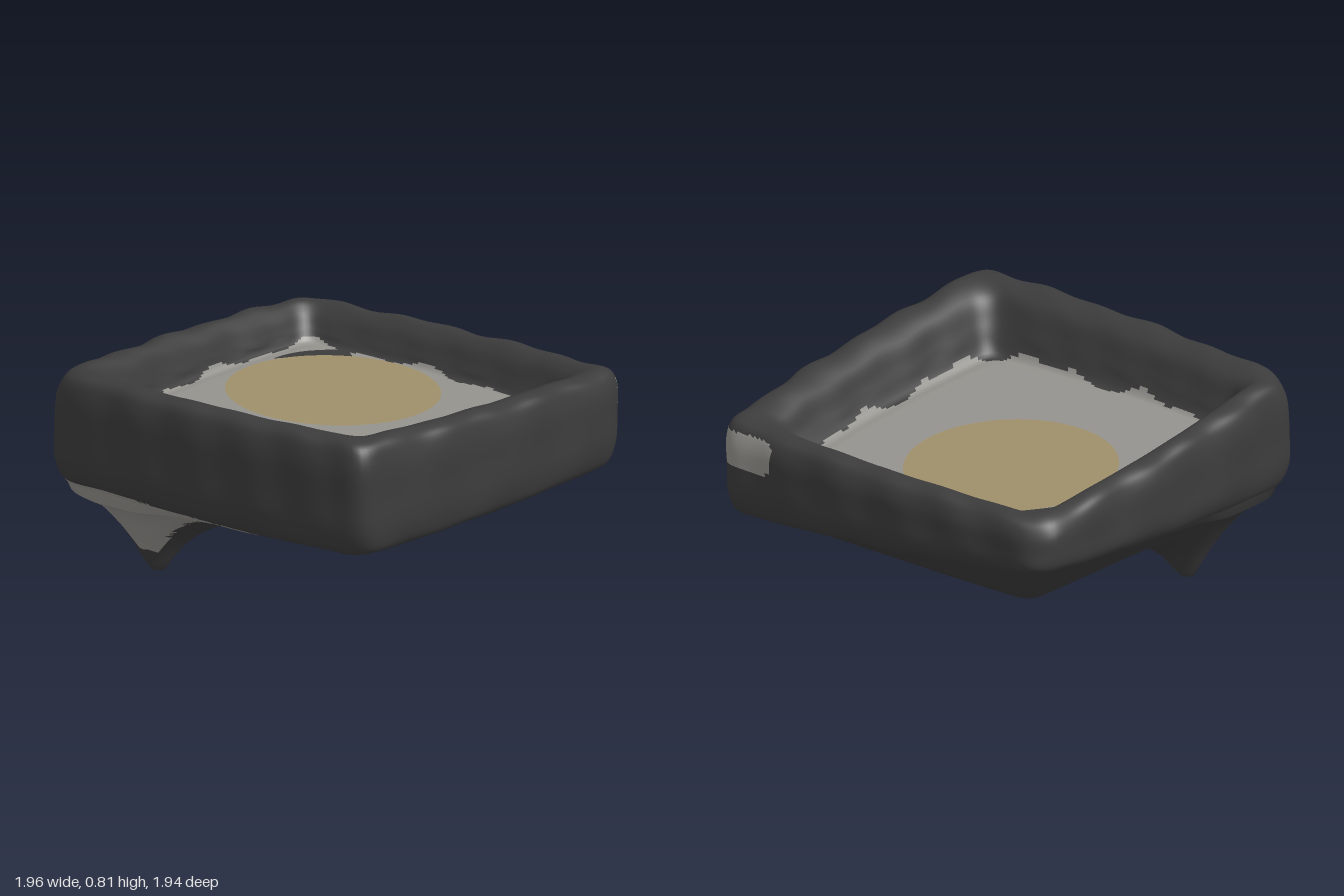
import * as THREE from 'three';

const charcoal = new THREE.MeshStandardMaterial({ color: 0x3c3c3d });
charcoal.name = 'charcoal';
const stoneGrey = new THREE.MeshStandardMaterial({ color: 0x95938e });
stoneGrey.name = 'stone grey';
const sand = new THREE.MeshStandardMaterial({ color: 0xa0906a });
sand.name = 'sand';

// Plan corners of the tray: left, back, right, front
const corners = [[-1.01, -0.22], [0.2, -1.01], [1.02, 0.2], [-0.23, 1.0]];
const SIDE = 60, STEPS = 6;
const floorY = (x, z) => 0.55 - 0.04 * x + 0.03 * z;

// Cross-section rings from floor centre, over the rim, to the underside centre:
// [scale, z offset, heights at the four corners (omitted on the floor)]
const rings = [
  [0.002, -0.05], [0.35, -0.05], [0.66, -0.05], [0.73, -0.045],
  [0.775, -0.03, 0.64, 0.56, 0.57, 0.68],
  [0.82, -0.02, 0.72, 0.605, 0.645, 0.77],
  [0.89, 0, 0.755, 0.635, 0.68, 0.81],
  [0.955, 0, 0.74, 0.615, 0.665, 0.795],
  [0.985, 0, 0.68, 0.57, 0.61, 0.73],
  [0.99, 0, 0.53, 0.515, 0.52, 0.6],
  [0.985, 0, 0.4, 0.46, 0.4, 0.46],
  [0.95, 0, 0.335, 0.425, 0.33, 0.39],
  [0.86, 0, 0.315, 0.35, 0.31, 0.37],
  [0.75, 0, 0.27, 0.26, 0.28, 0.345],
  [0.55, 0, 0.22, 0.175, 0.22, 0.3],
  [0.25, -0.03, 0.18, 0.145, 0.16, 0.22],
  [0.002, -0.06, 0.15, 0.15, 0.15, 0.15],
];

const mix = THREE.MathUtils.lerp;

// Point on a round-cornered ring; k is the side, t runs along it
function ringPoint([scale, dz, ...heights], k, t) {
  const r = 0.07, at = (side, u) => {
    const a = corners[(side + 4) % 4], b = corners[(side + 5) % 4];
    const bulge = scale * (1 + 0.045 * Math.sin(Math.PI * u));
    const h = heights.length ? mix(heights[(side + 4) % 4], heights[(side + 5) % 4], u) : 0;
    return new THREE.Vector3(mix(a[0], b[0], u) * bulge, h, mix(a[1], b[1], u) * bulge + dz);
  };
  const bend = (side, s) => new THREE.QuadraticBezierCurve3(at(side - 1, 1 - r), at(side, 0), at(side, r)).getPoint(s);
  let p;
  if (t < r) p = bend(k, 0.5 + t / r / 2);
  else if (t > 1 - r) p = bend(k + 1, (t - 1 + r) / r / 2);
  else p = at(k, t);
  if (!heights.length) p.y = floorY(p.x, p.z);
  return p;
}

function trayGeometry() {
  const cols = 4 * SIDE, rows = (rings.length - 1) * STEPS;
  const grid = [], pos = [];
  for (let j = 0; j < cols; j++) {
    const k = Math.floor(j / SIDE), t = (j % SIDE) / SIDE;
    const curve = new THREE.CatmullRomCurve3(rings.map((ring) => ringPoint(ring, k, t)), false, 'centripetal');
    grid.push(curve.getPoints(rows));
  }
  for (let i = 0; i <= rows; i++) {
    for (let j = 0; j < cols; j++) {
      const p = grid[j][i];
      // Hand-worked waviness on the rim and walls
      if (i > 3.5 * STEPS && i < 12 * STEPS) {
        const a = (j / cols) * Math.PI * 2;
        const w = 0.004 * Math.sin(a * 23 + i * 0.12) + 0.004 * Math.sin(a * 13 - i * 0.2);
        p.x *= 1 + w; p.z *= 1 + w; p.y += w * 0.6;
      }
      // Pointed spur under the left side
      if (i > 11 * STEPS) {
        const d = Math.max(0, Math.hypot(p.x + 0.63, p.z + 0.12) - 0.015);
        p.y = Math.max(0, p.y - 0.28 * Math.exp(-d / 0.115));
      }
      pos.push(p.x, p.y, p.z);
    }
  }

  // Sort faces into charcoal and bare grey areas
  const faces = [[], []];
  const sideOf = (x, z, ax, az, bx, bz) => (bx - ax) * (z - az) - (bz - az) * (x - ax);
  const isGrey = (x, y, z, i, j) => {
    const a = (j / cols) * Math.PI * 2;
    if (i < 3 * STEPS + 1.5 * Math.sin(a * 9) + 1.2 * Math.sin(a * 17)) return true;
    if (i < 8 * STEPS) return x > 0.88 && y < 0.645 && y > 0.52 && z > -0.02 && z < 0.2 && i > 7 * STEPS;
    const wallPatch = x > 0.8 && ((z - 0.09) / 0.11) ** 4 + ((y - 0.58) / 0.064) ** 4 < 1;
    const spurPatch = i > 10.5 * STEPS && y < 0.365 && y > 0.09
      && sideOf(x, z, -1, -0.26, -0.64, -0.07) > 0
      && sideOf(x, z, -0.64, -0.07, -0.47, 0.6) > 0;
    return wallPatch || spurPatch;
  };
  for (let i = 0; i < rows; i++) {
    for (let j = 0; j < cols; j++) {
      const n = (j + 1) % cols;
      const a = i * cols + j, b = i * cols + n, c = a + cols, d = b + cols;
      for (const f of [[a, b, c], [b, d, c]]) {
        const m = [0, 1, 2].map((q) => (pos[f[0] * 3 + q] + pos[f[1] * 3 + q] + pos[f[2] * 3 + q]) / 3);
        faces[isGrey(...m, i, j) ? 1 : 0].push(...f);
      }
    }
  }
  const g = new THREE.BufferGeometry();
  g.setAttribute('position', new THREE.Float32BufferAttribute(pos, 3));
  g.setIndex(faces[0].concat(faces[1]));
  g.addGroup(0, faces[0].length, 0);
  g.addGroup(faces[0].length, faces[1].length, 1);
  g.computeVertexNormals();
  return g;
}

// Thin painted plate lying on the sloping floor
function floorPlate(shape, material, name, lift) {
  const g = new THREE.ShapeGeometry(shape, 48);
  g.rotateX(-Math.PI / 2);
  const p = g.attributes.position;
  for (let i = 0; i < p.count; i++) p.setY(i, floorY(p.getX(i), p.getZ(i)) + lift);
  g.computeVertexNormals();
  const mesh = new THREE.Mesh(g, material);
  mesh.name = name;
  return mesh;
}

export function createModel() {
  const model = new THREE.Group();
  model.name = 'tray';

  const body = new THREE.Mesh(trayGeometry(), [charcoal, stoneGrey]);
  body.name = 'trayBody';
  model.add(body);

  // Round disc on the floor (shape y is -z)
  const disc = new THREE.Shape().absarc(0.06, 0.23, 0.38, 0, Math.PI * 2, false);
  model.add(floorPlate(disc, sand, 'floorDisc', 0.007));

  // Dark crescent behind the disc
  const crescent = new THREE.Shape();
  crescent.moveTo(-0.04, 0.61);
  crescent.quadraticCurveTo(0.1, 0.62, 0.24, 0.56);
  crescent.lineTo(0.25, 0.64);
  crescent.quadraticCurveTo(0.08, 0.7, -0.04, 0.61);
  model.add(floorPlate(crescent, charcoal, 'floorCrescent', 0.005));

  return model;
}
